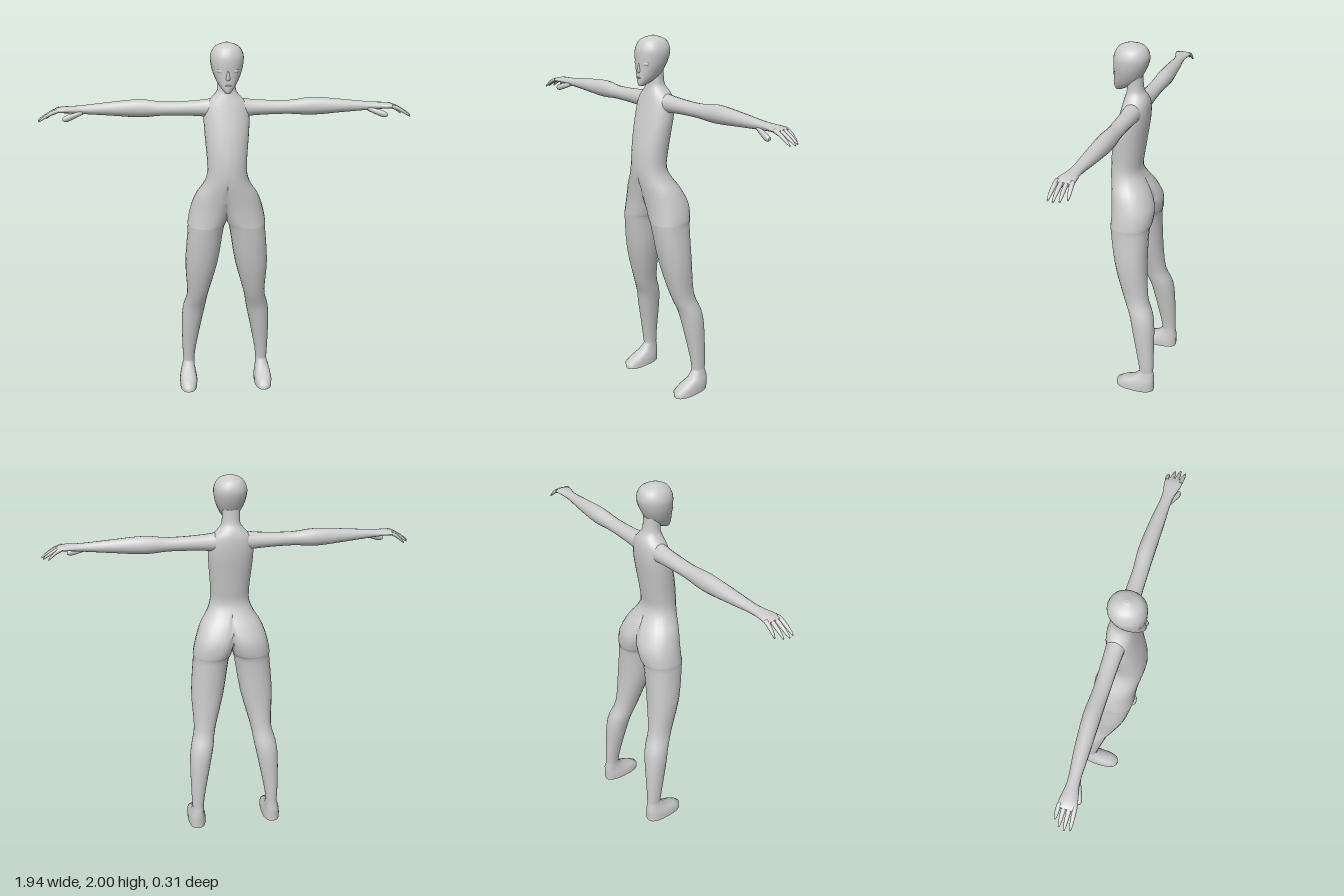
import * as THREE from 'three';

const material = new THREE.MeshStandardMaterial({ color: 0xcccccc });
const spow = (v, e) => Math.sign(v) * Math.pow(Math.abs(v), e);

// Add rows between the given ones along a Catmull-Rom spline, column by column.
function smooth(rows, steps = 3) {
  const row = j => rows[Math.min(Math.max(j, 0), rows.length - 1)];
  const out = [];
  for (let j = 0; j < rows.length - 1; j++) {
    for (let k = 0; k < steps; k++) {
      const t = k / steps;
      out.push(rows[j].map((b, c) => {
        const a = row(j - 1)[c], d = row(j + 1)[c], e = row(j + 2)[c];
        return b + t / 2 * (d - a + t * (2 * a - 5 * b + 4 * d - e + t * (3 * (b - d) + e - a)));
      }));
    }
  }
  return [...out, row(rows.length - 1)];
}

// Skin a list of equally sized rings, closing both ends with flat caps.
function loft(rings) {
  const n = rings[0].length, pos = [], idx = [];
  const push = p => pos.push(p.x, p.y, p.z);
  rings.forEach(r => r.forEach(push));
  for (let j = 0; j < rings.length - 1; j++) {
    for (let i = 0; i < n; i++) {
      const a = j * n + i, b = j * n + (i + 1) % n;
      idx.push(a, b, b + n, a, b + n, a + n);
    }
  }
  [rings[0], rings[rings.length - 1]].forEach((ring, end) => {
    const base = pos.length / 3;
    const mid = ring.reduce((s, p) => s.add(p), new THREE.Vector3()).divideScalar(n);
    [...ring, mid].forEach(push);
    for (let i = 0; i < n; i++) {
      const a = base + i, b = base + (i + 1) % n;
      if (end) idx.push(a, b, base + n); else idx.push(b, a, base + n);
    }
  });
  const g = new THREE.BufferGeometry();
  g.setAttribute('position', new THREE.Float32BufferAttribute(pos, 3));
  g.setIndex(idx);
  g.computeVertexNormals();
  return g;
}

// Horizontal ring: y, centre x, inner and outer radius, front z, back z.
function levelRing([y, xm, ri, ro, zf, zb], e = 0.95) {
  return Array.from({ length: 24 }, (_, i) => {
    const t = i / 12 * Math.PI, s = spow(Math.sin(t), e), c = spow(Math.cos(t), e);
    return new THREE.Vector3(xm + s * (s > 0 ? ro : Math.max(0, ri)), y, (zf + zb) / 2 + c * (zf - zb) / 2);
  });
}

// The same ring for half a body, cut off at the centre line.
function halfRing(row) {
  const ring = levelRing(row, row[0] < 0.1 ? 0.8 : 0.92);
  ring.forEach(p => { p.x = Math.max(0, p.x); });
  return ring;
}

// Upright ring across a limb that runs along x: x, bottom y, top y, back z, front z.
function limbRing([x, y0, y1, z0, z1]) {
  return Array.from({ length: 14 }, (_, i) => {
    const t = i / 7 * Math.PI;
    return new THREE.Vector3(x, (y0 + y1) / 2 + Math.cos(t) * (y1 - y0) / 2,
      (z0 + z1) / 2 + Math.sin(t) * (z1 - z0) / 2);
  });
}

function mirrored(geometry) {
  const g = geometry.clone().applyMatrix4(new THREE.Matrix4().makeScale(-1, 1, 1));
  const a = g.index.array;
  for (let i = 0; i < a.length; i += 3) [a[i], a[i + 1]] = [a[i + 1], a[i]];
  return g;
}

// y, radius, toe z
const foot = [[0, .05, .07], [.03, .051, .07], [.055, .046, .03], [.08, .039, -.035]];
// y, centre x, radius, front z, back z
const leg = [
  [.12, .215, .032, -.068, -.148],
  [.2, .213, .038, -.058, -.148],
  [.4, .195, .058, -.02, -.144],
  [.5, .18, .063, .002, -.13],
  [.6, .16, .06, .042, -.095],
  [.8, .138, .09, .096, -.08],
  [1, .114, .098, .127, -.082],
];
// y, centre x, inner radius, outer radius, front z, back z
const hip = [
  [1.04, .095, .094, .117, .13, -.093],
  [1.12, .07, .1, .126, .133, -.097],
  [1.2, .04, .09, .127, .143, -.066],
  [1.26, .015, .05, .114, .153, -.03],
];
// y, half width, front z, back z
const torso = [
  [1.32, .107, .158, -.006],
  [1.4, .106, .154, -.015],
  [1.5, .114, .137, -.03],
  [1.6, .12, .113, -.044],
  [1.68, .11, .092, -.044],
  [1.725, .07, .08, -.032],
  [1.76, .048, .072, -.014],
  [1.83, .047, .07, -.008],
];
const skull = [
  [1.752, .012, .136, .105],
  [1.768, .026, .142, .068],
  [1.8, .05, .142, .015],
  [1.85, .073, .14, -.018],
  [1.9, .085, .141, -.039],
  [1.94, .084, .136, -.042],
  [1.98, .06, .112, -.02],
  [2, .008, .06, .035],
];
// x, bottom y, top y, back z, front z
const arm = [
  [.03, 1.6, 1.72, -.03, .075],
  [.14, 1.618, 1.703, -.024, .064],
  [.32, 1.624, 1.696, -.02, .06],
  [.45, 1.616, 1.71, -.026, .06],
  [.62, 1.63, 1.697, -.014, .06],
  [.76, 1.642, 1.684, .002, .06],
  [.85, 1.65, 1.679, -.008, .082],
  [.885, 1.65, 1.668, -.006, .08],
];
const thumb = [
  [.74, 1.64, 1.66, .035, .058],
  [.815, 1.61, 1.645, .06, .088],
  [.84, 1.614, 1.63, .066, .084],
];

export function createModel() {
  const model = new THREE.Group();
  const add = (name, geometry, parent = model) => {
    const mesh = new THREE.Mesh(geometry, material);
    mesh.name = name;
    parent.add(mesh);
    return mesh;
  };
  const addPair = (name, geometry) => {
    add('left' + name, geometry);
    add('right' + name, mirrored(geometry));
  };
  const centred = ([y, w, zf, zb]) => [y, 0, w, w, zf, zb];

  // Foot, leg and half torso in one skin; normals on the centre line stay seamless
  const half = loft([
    ...foot.map(([y, r, toe]) => [y, .22, r, r, toe, -.155]),
    ...smooth([
      ...leg.map(([y, x, r, zf, zb]) => [y, x, r, r, zf, zb]),
      ...hip,
      ...torso.map(([y, w, zf, zb]) => [y, 0, 0, w, zf, zb]),
    ]),
  ].map(halfRing));
  const p = half.attributes.position, nm = half.attributes.normal, v = new THREE.Vector3();
  for (let i = 0; i < p.count; i++) {
    if (p.getX(i) > 1e-4) continue;
    v.set(0, nm.getY(i), nm.getZ(i)).normalize();
    nm.setXYZ(i, v.x, v.y, v.z);
  }
  addPair('BodyAndLeg', half);

  // Arms, thumbs and drooping fingers
  addPair('Arm', loft(smooth(arm).map(limbRing)));
  addPair('Thumb', loft(smooth(thumb).map(limbRing)));
  [.932, .958, .968, .96].forEach((tip, i) => {
    const z = .002 + i * .0235;
    addPair('Finger' + (i + 1), loft([0, .3, .6, .85, 1].map(t => {
      const r = .011 - .007 * t ** 3, y = 1.664 - .05 * t ** 1.4, zc = z + (i - 1.5) * .0035 * t;
      return limbRing([.865 + (tip - .865) * t, y - r, y + r, zc - r, zc + r]);
    })));
  });

  // Head and face
  const head = new THREE.Group();
  head.name = 'head';
  model.add(head);
  add('skull', loft(smooth(skull).map(r => levelRing(centred(r)))), head);
  add('nose', loft([
    [1.82, .008, .144, .12], [1.828, .012, .151, .12], [1.845, .008, .147, .12], [1.875, .004, .139, .12],
  ].map(r => levelRing(centred(r)))), head);
  add('mouth', new THREE.SphereGeometry(1, 12, 8).scale(.017, .005, .008).translate(0, 1.795, .137), head);
  for (const s of [1, -1]) {
    const eye = add(s > 0 ? 'leftEye' : 'rightEye', new THREE.SphereGeometry(1, 14, 10).scale(.02, .011, .008), head);
    eye.position.set(s * .038, 1.865, .124);
    eye.rotation.set(0, s * .45, s * .12);
  }
  return model;
}
